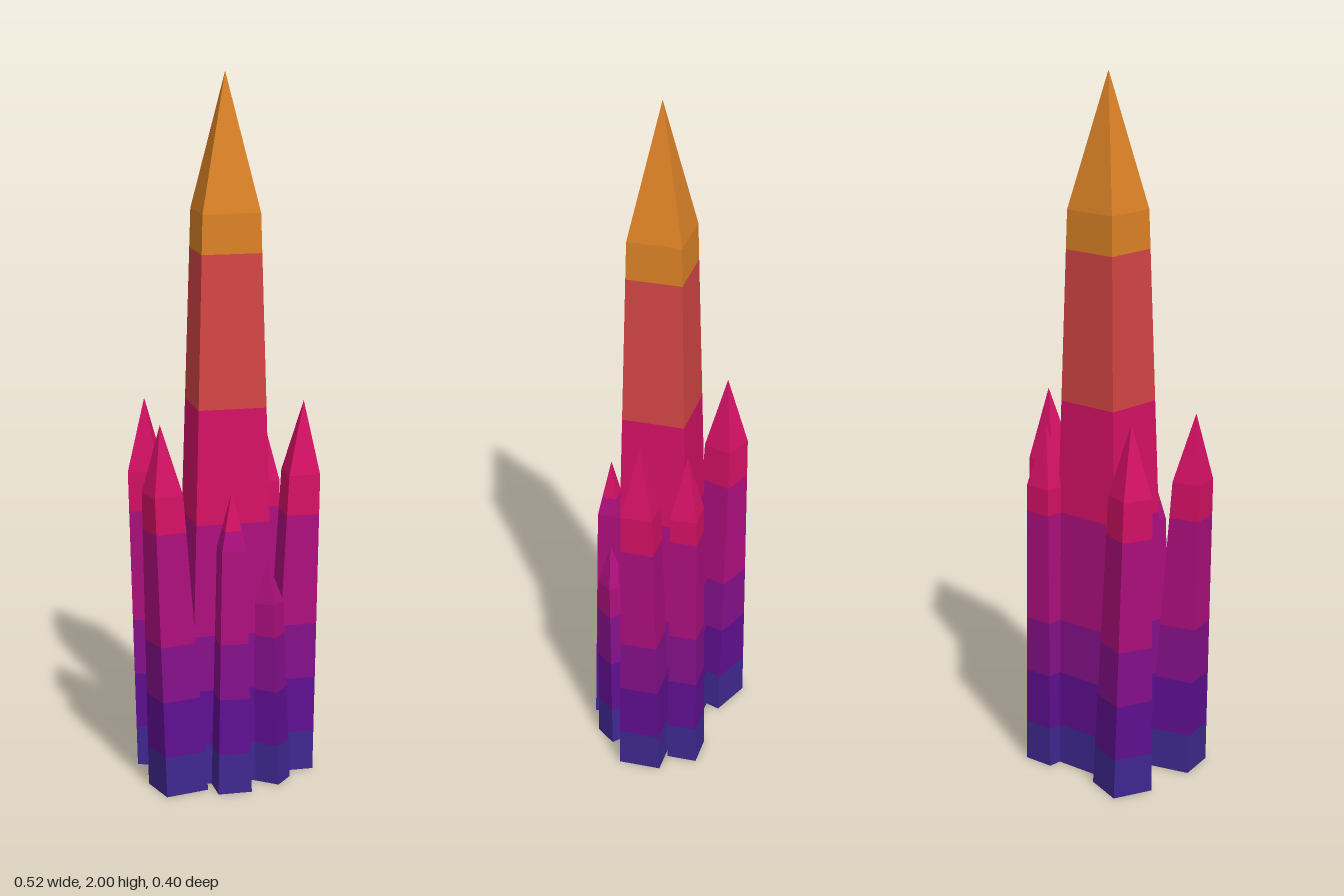
import * as THREE from 'three';

// Colour bands from the ground up, each with the height at which it ends
const bands = [
  ['indigo', 0x3f2890, 0.115],
  ['violet', 0x5f0f90, 0.275],
  ['purple', 0x85108a, 0.435],
  ['magenta', 0xad0f7d, 0.755],
  ['crimson', 0xd51165, 1.08],
  ['coral', 0xd54545, 1.51],
  ['amber', 0xdc8226, 2.01],
];

// Each crystal: base and shoulder as [centre x, y, centre z, half x, half z], apex point, turn in degrees
const crystals = [
  { name: 'centralSpire', base: [-0.005, 0, -0.002, 0.125, 0.1125], shoulder: [-0.004, 1.62, -0.002, 0.082, 0.077], apex: [-0.005, 2, -0.002], turn: 0 },
  { name: 'leftCrystal', base: [0.18, 0, -0.002, 0.06, 0.06], shoulder: [0.215, 0.87, -0.002, 0.045, 0.045], apex: [0.223, 1.077, -0.003], turn: 0 },
  { name: 'backLeftCrystal', base: [0.131, 0, -0.112, 0.047, 0.043], shoulder: [0.131, 0.83, -0.112, 0.041, 0.038], apex: [0.131, 1.01, -0.113], turn: 0 },
  { name: 'frontCrystal', base: [-0.023, 0, 0.155, 0.048, 0.044], shoulder: [-0.023, 0.7, 0.155, 0.035, 0.032], apex: [-0.023, 0.865, 0.155], turn: 0 },
  { name: 'frontLeftCrystal', base: [0.107, 0, 0.11, 0.0375, 0.0375], shoulder: [0.093, 0.53, 0.12, 0.03, 0.03], apex: [0.087, 0.65, 0.127], turn: 40 },
  { name: 'backRightCrystal', base: [-0.164, 0, -0.122, 0.064, 0.06], shoulder: [-0.205, 0.87, -0.137, 0.045, 0.044], apex: [-0.209, 1.077, -0.138], turn: 21 },
  { name: 'frontRightCrystal', base: [-0.168, 0, 0.113, 0.064, 0.06], shoulder: [-0.211, 0.86, 0.122, 0.043, 0.042], apex: [-0.218, 1.055, 0.126], turn: -14 },
];

// Four corners of a crystal's cross-section at height y
function section({ base, shoulder, apex, turn }, y) {
  const tip = [...apex, 0, 0];
  const [low, high] = y <= shoulder[1] ? [base, shoulder] : [shoulder, tip];
  const t = (y - low[1]) / (high[1] - low[1]);
  const [cx, , cz, hx, hz] = low.map((v, i) => v + (high[i] - v) * t);
  const a = THREE.MathUtils.degToRad(turn), c = Math.cos(a), s = Math.sin(a);
  return [[-1, 1], [1, 1], [1, -1], [-1, -1]].map(([u, v]) =>
    [cx + u * hx * c - v * hz * s, y, cz + u * hx * s + v * hz * c]);
}

function crystalGeometry(crystal) {
  const geometry = new THREE.BufferGeometry();
  const points = [];
  const top = crystal.apex[1];
  let bottom = 0;
  bands.forEach(([, , end], band) => {
    const limit = Math.min(end, top);
    if (limit <= bottom) return;
    const start = points.length;
    // The underside belongs to the lowest band
    if (band === 0) {
      const [a, b, c, d] = section(crystal, 0);
      points.push(a, c, b, a, d, c);
    }
    // Cut the band where the walls turn in towards the tip
    const bend = crystal.shoulder[1];
    const levels = bend > bottom && bend < limit ? [bottom, bend, limit] : [bottom, limit];
    for (let i = 0; i < levels.length - 1; i++) {
      const low = section(crystal, levels[i]);
      const high = section(crystal, levels[i + 1]);
      for (let k = 0; k < 4; k++) {
        const n = (k + 1) % 4;
        points.push(low[k], low[n], high[n]);
        if (levels[i + 1] < top) points.push(low[k], high[n], high[k]);
      }
    }
    geometry.addGroup(start, points.length - start, band);
    bottom = limit;
  });
  geometry.setAttribute('position', new THREE.Float32BufferAttribute(points.flat(), 3));
  geometry.computeVertexNormals();
  return geometry;
}

export function createModel() {
  const group = new THREE.Group();
  group.name = 'crystalCluster';
  const materials = bands.map(([name, color]) => {
    const material = new THREE.MeshStandardMaterial({ color });
    material.name = name;
    return material;
  });
  for (const crystal of crystals) {
    const mesh = new THREE.Mesh(crystalGeometry(crystal), materials);
    mesh.name = crystal.name;
    group.add(mesh);
  }
  return group;
}
